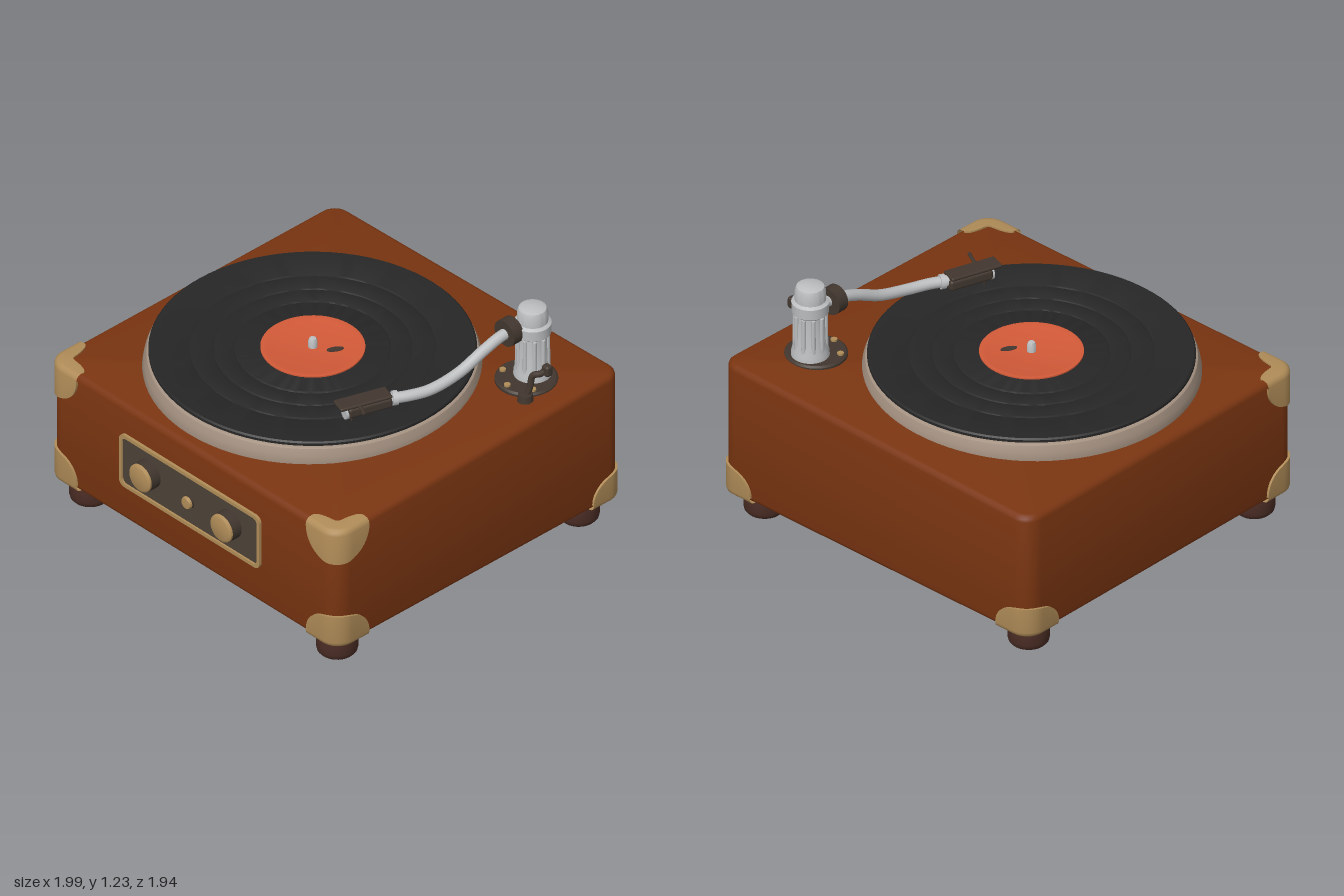
import * as THREE from 'three';
import { toCreasedNormals } from 'three/addons/utils/BufferGeometryUtils.js';
import { RoundedBoxGeometry } from 'three/addons/geometries/RoundedBoxGeometry.js';

const HX = 0.985, HZ = 0.925, CZ = -0.03, R = 0.09, BOTTOM = 0.13, TOP = 0.79;
// the lid rises gently towards the back left corner
const rise = (x, z) => 0.055 * (x + 1) / 2 * (0.9 - z) / 1.86;

export function createModel() {
  const model = new THREE.Group();
  const mat = (name, color, side = THREE.FrontSide) => {
    const m = new THREE.MeshStandardMaterial({ color, side });
    m.name = name;
    return m;
  };
  const leather = mat('brown leather', 0x7a3511);
  const brass = mat('brass', 0xb08c58, THREE.DoubleSide);
  const rubber = mat('dark brown rubber', 0x4a2c24);
  const bronze = mat('dark bronze', 0x42372f);
  const plate = mat('panel brown', 0x4c4238);
  const vinyl = mat('vinyl black', 0x262626);
  const rim = mat('platter beige', 0xa39080);
  const orange = mat('label orange', 0xd25a38);
  const silver = mat('silver', 0xbcbec0);

  const add = (name, geo, material, x = 0, y = 0, z = 0, parent = model) => {
    const mesh = new THREE.Mesh(geo, material);
    mesh.name = name;
    mesh.position.set(x, y, z);
    parent.add(mesh);
    return mesh;
  };
  const lathe = (pts, seg = 48) => toCreasedNormals(
    new THREE.LatheGeometry(pts.map(p => new THREE.Vector2(...p)), seg), 0.6);
  const cyl = (a, b, h, seg = 32) => new THREE.CylinderGeometry(a, b, h, seg);

  // skin a list of equal-length cross-sections
  const loft = rings => {
    const n = rings[0].length, index = [];
    for (let i = 0; i < rings.length - 1; i++) for (let j = 0; j < n - 1; j++) {
      const a = i * n + j, b = a + 1, c = a + n, d = c + 1;
      index.push(a, c, b, b, c, d);
    }
    const geo = new THREE.BufferGeometry();
    geo.setAttribute('position', new THREE.Float32BufferAttribute(rings.flat(2), 3));
    geo.setIndex(index);
    return toCreasedNormals(geo, 0.7);
  };

  // case: rounded plan loops stacked upwards, closed to the centre at both ends
  const loop = (inset, y, top) => {
    const pts = [];
    for (let k = 0; k <= 36; k++) {
      const q = Math.floor((k % 36) / 9), a = (q + ((k % 36) % 9) / 8) * Math.PI / 2;
      const sx = q === 0 || q === 3 ? 1 : -1, sz = q < 2 ? 1 : -1, r = R - inset;
      const x = sx * (HX - R) + r * Math.cos(a), z = CZ + sz * (HZ - R) + r * Math.sin(a);
      pts.push([x, y + (top ? rise(x, z) : 0), z]);
    }
    return pts;
  };
  const centre = (y, top) => Array.from({ length: 37 }, () => [0, y + (top ? rise(0, CZ) : 0), CZ]);
  const bevel = [[0.03, 0], [0.015, 0.004], [0.004, 0.015], [0, 0.03]];
  add('case', loft([
    centre(BOTTOM, false),
    ...bevel.map(([i, d]) => loop(i, BOTTOM + d, false)),
    ...bevel.slice().reverse().map(([i, d]) => loop(i, TOP - d, true)),
    centre(TOP, true),
  ]), leather);

  // corner guards: shells wrapped around a vertical edge and folded over
  const guard = (name, sx, sz, top, height) => {
    const rings = [], E = 0.012, arm = 0.11, N = 28;
    for (let k = 0; k <= N; k++) {
      const t = Math.cos(Math.PI * (1 - k / N));
      let px = HX - R, pz = HZ - R, a = 0;
      if (t < -0.5) { pz -= arm * (-t - 0.5) * 2; }
      else if (t > 0.5) { px -= arm * (t - 0.5) * 2; a = Math.PI / 2; }
      else a = (t + 0.5) * Math.PI / 2;
      const shape = Math.pow(Math.max(0, 1 - Math.abs(t) ** 3), 0.5);
      const h = 0.035 + (height - 0.035) * shape, w = 0.045 + 0.045 * shape;
      rings.push([[0.03, h], [0, h], [0, 0.03], [0.004, 0.014], [0.015, 0.004], [0.03, 0], [w, 0], [w, 0.03]]
        .map(([inset, d]) => {
          const r = R + E - inset;
          const x = sx * (px + r * Math.cos(a)), z = CZ + sz * (pz + r * Math.sin(a));
          return [x, top ? TOP + 0.008 - d + rise(x, z) : BOTTOM - 0.006 + d, z];
        }));
    }
    add(name, loft(rings), brass);
  };
  for (const s of [-1, 1]) {
    const side = s > 0 ? 'Left' : 'Right';
    guard('frontTopGuard' + side, s, 1, true, 0.19);
    guard('frontBottomGuard' + side, s, 1, false, 0.18);
    guard('backBottomGuard' + side, s, -1, false, 0.16);
    // feet
    const foot = lathe([[0, 0], [0.085, 0], [0.096, 0.012], [0.1, 0.03], [0.1, 0.1], [0.09, 0.14], [0, 0.14]], 28);
    add('frontFoot' + side, foot, rubber, s * 0.845, 0, 0.76);
    add('backFoot' + side, foot, rubber, s * 0.845, 0, -0.8);
  }

  // control panel with raised brass frame
  const roundRect = (path, w, h, r) => {
    path.absarc(w - r, h - r, r, 0, Math.PI / 2);
    path.absarc(-w + r, h - r, r, Math.PI / 2, Math.PI);
    path.absarc(-w + r, -h + r, r, Math.PI, Math.PI * 1.5);
    path.absarc(w - r, -h + r, r, Math.PI * 1.5, Math.PI * 2);
    path.closePath();
    return path;
  };
  const frame = roundRect(new THREE.Shape(), 0.48, 0.15, 0.035);
  frame.holes.push(roundRect(new THREE.Path(), 0.461, 0.131, 0.025));
  add('panelFrame', new THREE.ExtrudeGeometry(frame, { depth: 0.025, bevelEnabled: false }), brass, -0.01, 0.483, 0.885);
  add('panel', new THREE.ExtrudeGeometry(roundRect(new THREE.Shape(), 0.465, 0.135, 0.025),
    { depth: 0.015, bevelEnabled: false }), plate, -0.01, 0.483, 0.885);

  // knobs
  const knob = (name, x, y, r, len) => {
    const g = new THREE.Group();
    g.name = name;
    g.position.set(x, y, 0.898);
    g.rotation.x = Math.PI / 2;
    model.add(g);
    add('knobSkirt', cyl(r, r, len), bronze, 0, len / 2, 0, g);
    add('knobCap', lathe([[r * 0.98, 0], [r * 0.96, 0.008], [r * 0.85, 0.014], [0, 0.016]], 32), brass, 0, len, 0, g);
  };
  knob('rightKnob', -0.29, 0.495, 0.075, 0.058);
  knob('leftKnob', 0.265, 0.495, 0.075, 0.058);
  knob('centreButton', -0.02, 0.472, 0.033, 0.012);

  // platter, record, label, spindle
  const CX = -0.095, RZ = 0.03;
  add('platter', lathe([[0, 0.76], [0.795, 0.76], [0.803, 0.79], [0.795, 0.835], [0.782, 0.868], [0.77, 0.875], [0, 0.875]], 80),
    rim, CX, 0, RZ);
  const groove = [[0, 0.897]];
  for (const r of [0.36, 0.46, 0.57]) groove.push([r, 0.897], [r + 0.008, 0.892], [r + 0.016, 0.897]);
  add('record', lathe([...groove, [0.765, 0.9], [0.773, 0.893], [0.773, 0.88], [0.76, 0.873], [0, 0.873]].reverse(), 80),
    vinyl, CX, 0, RZ);
  add('label', lathe([[0.247, 0.89], [0.247, 0.904], [0.235, 0.906], [0.215, 0.901], [0, 0.901]], 56), orange, CX, 0, RZ);
  const mark = add('labelMark', cyl(0.018, 0.018, 0.004, 20), bronze, -0.005, 0.902, -0.03);
  mark.scale.z = 2.3;
  mark.rotation.y = -0.5;
  add('spindle', lathe([[0.022, 0.89], [0.022, 0.935], [0.016, 0.95], [0, 0.955]], 20), silver, CX, 0, RZ);

  // tonearm base and column
  const AX = 0.71, AZ = -0.63;
  add('tonearmBase', lathe([[0.15, 0.8], [0.15, 0.838], [0.14, 0.846], [0, 0.846]]), bronze, AX, 0, -0.59);
  for (const a of [0.5, 1.6, 2.7]) add('baseScrew', cyl(0.016, 0.016, 0.012, 14), brass,
    AX + 0.12 * Math.cos(a), 0.85, -0.59 + 0.12 * Math.sin(a));
  add('column', lathe([[0.092, 0.84], [0.09, 0.87], [0.076, 0.92], [0.07, 1.07], [0.088, 1.085], [0.09, 1.14],
    [0.074, 1.15], [0.074, 1.2], [0.066, 1.222], [0.045, 1.23], [0, 1.232]]), silver, AX, 0, AZ);
  for (let i = 0; i < 10; i++) {
    const a = i * Math.PI / 5;
    add('columnRib', cyl(0.01, 0.013, 0.22, 8), silver, AX + 0.073 * Math.cos(a), 0.96, AZ + 0.073 * Math.sin(a));
  }

  // pivot and curved arm
  const pivot = add('pivot', cyl(0.068, 0.068, 0.06), bronze, 0.665, 1.115, -0.52);
  pivot.rotation.x = Math.PI / 2;
  const tube = (pts, r, seg = 40) => new THREE.TubeGeometry(
    new THREE.CatmullRomCurve3(pts.map(p => new THREE.Vector3(...p))), seg, r, 14);
  add('arm', tube([[0.68, 1.12, -0.6], [0.663, 1.11, -0.48], [0.655, 1.075, -0.37], [0.64, 1.01, -0.22],
    [0.615, 0.978, -0.06], [0.575, 0.975, 0.05], [0.53, 0.975, 0.13]], 0.028), silver);
  const collar = add('armCollar', cyl(0.036, 0.036, 0.025, 20), silver, 0.545, 0.975, 0.105);
  collar.rotation.set(Math.PI / 2, 0, 0.5);

  // headshell
  const head = new THREE.Group();
  head.name = 'headshell';
  head.position.set(0.485, 0, 0.24);
  head.rotation.y = -0.32;
  model.add(head);
  add('headBody', new RoundedBoxGeometry(0.08, 0.055, 0.23, 2, 0.015), bronze, 0, 0.965, -0.015, head);
  add('headPlate', new RoundedBoxGeometry(0.09, 0.018, 0.27, 2, 0.008), bronze, 0, 1.004, 0.01, head);
  const cap = add('cartridgeFront', cyl(0.034, 0.034, 0.02, 24), silver, 0, 0.957, 0.1, head);
  cap.rotation.x = Math.PI / 2;
  add('stylus', cyl(0.012, 0.004, 0.05, 10), bronze, 0, 0.92, 0.07, head);
  add('fingerLift', tube([[0.49, 1, 0.29], [0.54, 1.003, 0.31], [0.585, 1.006, 0.335]], 0.009, 8), bronze);

  // cueing lever
  add('lever', tube([[0.83, 0.83, -0.47], [0.84, 0.9, -0.49], [0.85, 0.965, -0.5], [0.885, 0.985, -0.52], [0.9, 1.01, -0.54]],
    0.016, 24), bronze);
  add('leverTip', new RoundedBoxGeometry(0.045, 0.06, 0.04, 2, 0.014), bronze, 0.905, 1.005, -0.54);
  add('leverFoot', cyl(0.035, 0.04, 0.05, 20), bronze, 0.83, 0.84, -0.47);
  return model;
}
